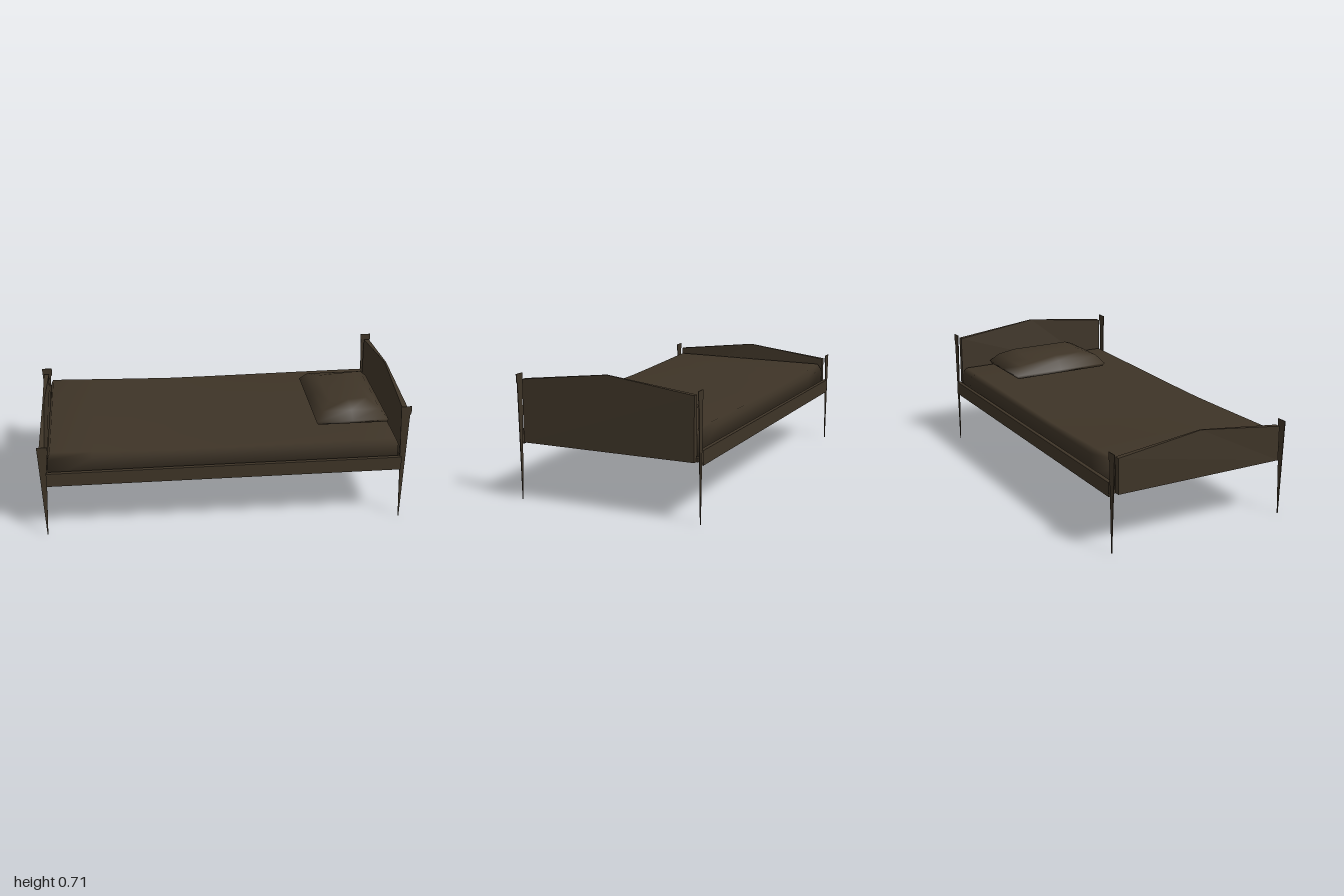
import * as THREE from 'three';
import { mergeVertices } from 'three/addons/utils/BufferGeometryUtils.js';

const darkWood = new THREE.MeshStandardMaterial({ color: 0x3e3427, side: THREE.DoubleSide });
darkWood.name = 'darkWood';

function part(group, name, geometry) {
  const mesh = new THREE.Mesh(geometry, darkWood);
  mesh.name = name;
  group.add(mesh);
  return mesh;
}

// Stack of rectangles [y, x0, x1, z0, z1] from bottom to top; lift(x, z) adjusts the top layer
function layered(layers, segX, segZ, lift = () => 0) {
  const n = layers.length - 1;
  let g = new THREE.BoxGeometry(1, 1, 1, segX, n, segZ);
  const p = g.attributes.position;
  for (let i = 0; i < p.count; i++) {
    const k = Math.round((p.getY(i) + 0.5) * n);
    const [y, x0, x1, z0, z1] = layers[k];
    const x = THREE.MathUtils.lerp(x0, x1, p.getX(i) + 0.5);
    const z = THREE.MathUtils.lerp(z0, z1, p.getZ(i) + 0.5);
    p.setXYZ(i, x, y + (k === n ? lift(x, z) : 0), z);
  }
  g.deleteAttribute('uv');
  g.deleteAttribute('normal');
  g = mergeVertices(g);
  g.computeVertexNormals();
  return g;
}

// Gabled end panel, thinning towards its peak
function panel(x, side, peak) {
  const shape = new THREE.Shape([
    [-0.48, 0.315], [0.49, 0.315], [0.49, side], [0.005, peak], [-0.48, side],
  ].map(([a, b]) => new THREE.Vector2(a, b)));
  const g = new THREE.ExtrudeGeometry(shape, { depth: 0.03, bevelEnabled: false });
  g.translate(0, 0, -0.015);
  const p = g.attributes.position;
  for (let i = 0; i < p.count; i++) if (p.getY(i) > side + 0.01) p.setZ(i, p.getZ(i) * 0.3);
  g.computeVertexNormals();
  g.rotateY(Math.PI / 2);
  g.translate(x, 0, 0);
  return g;
}

// Flat post tapering down to a pointed foot
function post(top) {
  const shape = new THREE.Shape([
    [-0.002, 0], [0.002, 0], [0.022, top - 0.05], [0.029, top - 0.04], [0.029, top], [-0.029, top],
    [-0.026, top - 0.05],
  ].map(([a, b]) => new THREE.Vector2(a, b)));
  const g = new THREE.ExtrudeGeometry(shape, { depth: 0.004, bevelEnabled: false });
  g.translate(0, 0, -0.002);
  return g;
}

// Hollow side rail, open at both ends
function rail() {
  let g = new THREE.CylinderGeometry(Math.SQRT1_2, Math.SQRT1_2, 1, 4, 1, true);
  g.rotateY(Math.PI / 4);
  g.rotateZ(Math.PI / 2);
  g.scale(1.92, 0.076, 0.022);
  g = g.toNonIndexed();
  g.computeVertexNormals();
  return g;
}

export function createModel() {
  const bed = new THREE.Group();
  bed.name = 'bed';

  part(bed, 'headboard', panel(0.97, 0.65, 0.71));
  part(bed, 'footboard', panel(-0.975, 0.505, 0.565));

  for (const [side, z] of [['left', 0.508], ['right', -0.516]]) {
    part(bed, side + 'HeadPost', post(0.675)).position.set(0.968, 0, z);
    part(bed, side + 'FootPost', post(0.53)).position.set(-0.972, 0, z);
    part(bed, side + 'Rail', rail()).position.set(0, 0.338, z);
  }

  // Base board under the mattress
  const base = part(bed, 'base', new THREE.BoxGeometry(1.93, 0.02, 0.995));
  base.position.set(0, 0.325, -0.004);

  // Mattress with a slight sag in the middle
  part(bed, 'mattress', layered([
    [0.33, -0.95, 0.945, -0.49, 0.485],
    [0.44, -0.95, 0.945, -0.49, 0.485],
    [0.465, -0.935, 0.935, -0.47, 0.465],
  ], 8, 2, (x) => 0.008 * Math.min(1, Math.abs(x + 0.15)) - 0.008 + (x < -0.3 ? -0.02 * (x + 0.3) : 0)));

  // Pillow, fullest near the headboard
  part(bed, 'pillow', layered([
    [0.472, 0.54, 0.93, -0.30, 0.275],
    [0.492, 0.53, 0.935, -0.31, 0.285],
    [0.54, 0.57, 0.89, -0.27, 0.245],
    [0.56, 0.62, 0.83, -0.19, 0.165],
  ], 2, 2, (x) => (x - 0.62) * 0.07));

  return bed;
}
